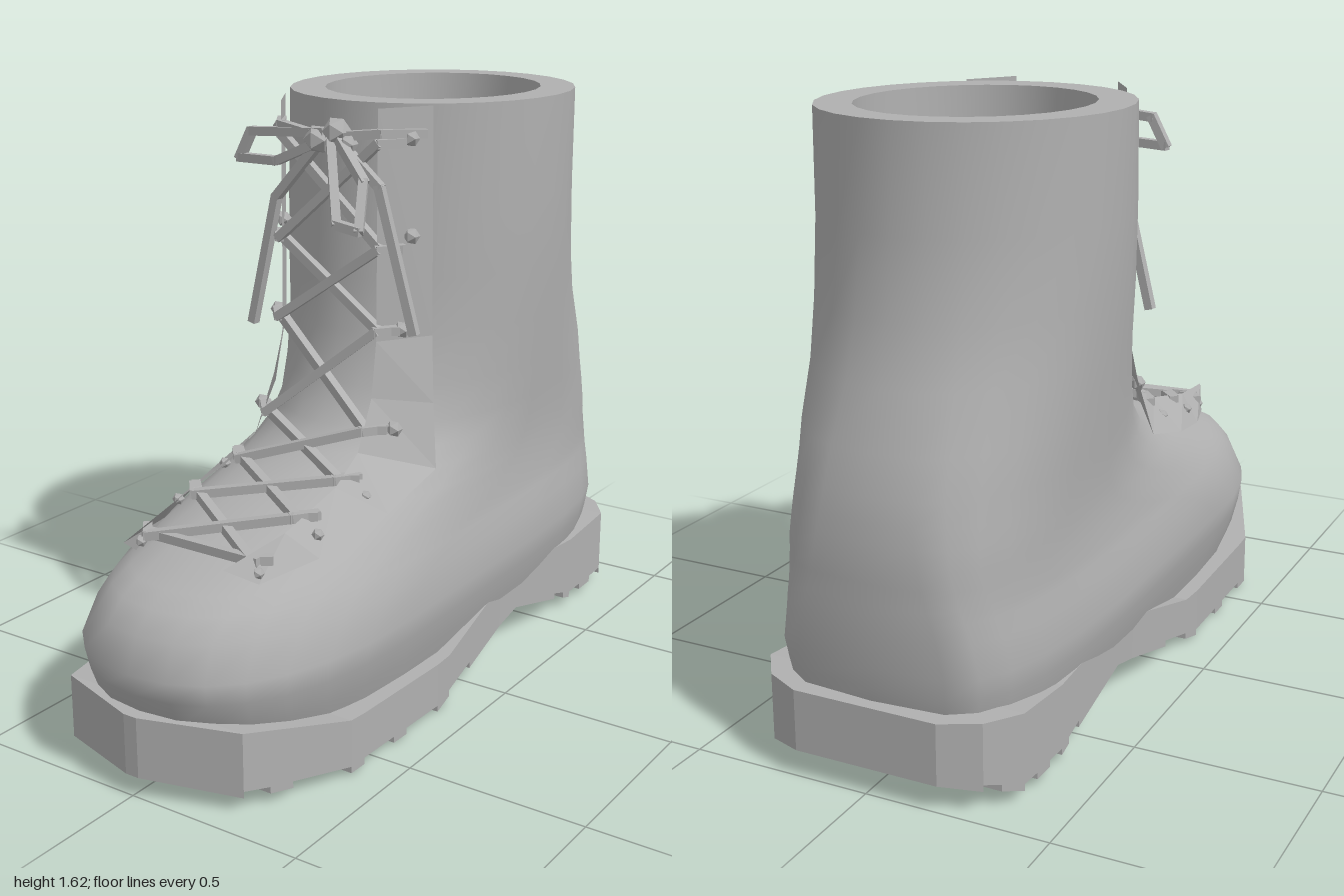
import * as THREE from 'three';

const grey = new THREE.MeshStandardMaterial({ color: 0xb0b0b0, side: THREE.DoubleSide });
grey.name = 'boot grey';

function add(parent, name, geometry) {
  const m = new THREE.Mesh(geometry, grey);
  m.name = name;
  parent.add(m);
  return m;
}

// Piecewise linear lookup in [key, value] pairs sorted by falling key
function lookup(table, k) {
  for (let i = 0; i < table.length - 1; i++) {
    const [a, va] = table[i], [b, vb] = table[i + 1];
    if (k <= a && k >= b) return va + (vb - va) * (a - k) / (a - b);
  }
  return table[table.length - 1][1];
}

// Horizontal egg-shaped rings: [y, half width, back z, front z, widest z, back power, front power]
const SIDES = 28;
function loft(levels) {
  const pos = [], idx = [];
  for (const [y, w, zb, zf, zc, nb, nf] of levels) {
    for (let j = 0; j < SIDES; j++) {
      const a = (j / SIDES) * Math.PI * 2;
      const s = Math.sin(a), c = Math.cos(a), p = 2 / (c > 0 ? nf : nb);
      const x = w * Math.sign(s) * Math.abs(s) ** p;
      const z = zc + (c > 0 ? zf - zc : zb - zc) * Math.abs(c) ** p;
      pos.push(x, y, z);
    }
  }
  for (let i = 0; i < levels.length - 1; i++) {
    for (let j = 0; j < SIDES; j++) {
      const a = i * SIDES + j, b = i * SIDES + (j + 1) % SIDES;
      idx.push(a, b, b + SIDES, a, b + SIDES, a + SIDES);
    }
  }
  const g = new THREE.BufferGeometry();
  g.setAttribute('position', new THREE.Float32BufferAttribute(pos, 3));
  g.setIndex(idx);
  g.computeVertexNormals();
  return g;
}

// Flat-shaded geometry from quads of [x, y, z] corners
function quads(list) {
  const pos = [];
  for (const [a, b, c, d] of list) pos.push(...a, ...b, ...c, ...a, ...c, ...d);
  const g = new THREE.BufferGeometry();
  g.setAttribute('position', new THREE.Float32BufferAttribute(pos, 3));
  g.computeVertexNormals();
  return g;
}

// Square cord running through a list of points
function cord(parent, name, points, t = 0.024) {
  const group = new THREE.Group();
  group.name = name;
  for (let i = 0; i < points.length - 1; i++) {
    const a = new THREE.Vector3(...points[i]), b = new THREE.Vector3(...points[i + 1]);
    const m = add(group, 'laceSegment', new THREE.BoxGeometry(t, t, a.distanceTo(b) + t * 0.5));
    m.position.copy(a).add(b).multiplyScalar(0.5);
    m.lookAt(b);
  }
  parent.add(group);
}

function soleGeometry() {
  const half = [[1, 0.02], [0.91, 0.28], [0.62, 0.4], [0.2, 0.4], [-0.2, 0.365], [-0.86, 0.365], [-0.95, 0.3], [-1, 0.2]];
  const top = [[1, 0.22], [0.91, 0.215], [0.6, 0.155], [0.13, 0.14], [-0.2, 0.22], [-0.38, 0.235], [-0.65, 0.215], [-0.86, 0.235], [-1, 0.235]];
  const low = [[1, 0.055], [0.85, 0.03], [0.62, 0.01], [0.2, 0], [0, 0.045], [-0.3, 0.115], [-0.55, 0.05], [-0.65, 0.02], [-0.85, 0.025], [-1, 0.07]];
  const cuts = [1, 0.91, 0.84, 0.78, 0.62, 0.56, 0.42, 0.36, 0.2, 0.13, 0, -0.1, -0.2, -0.3, -0.38, -0.55, -0.61, -0.65, -0.72, -0.79, -0.86, -0.91, -0.95, -1];
  const faces = [];
  const ring = (z, lift) => {
    const w = lookup(half, z), t = lookup(top, z), b = lookup(low, z) + lift;
    return [[-w, b, z], [w, b, z], [w, t, z], [-w, t, z]];
  };
  let prev = null;
  for (let i = 0; i < cuts.length - 1; i++) {
    const ridged = cuts[i] > 0.05 || cuts[i] < -0.5;
    const lift = ridged && i % 2 ? 0.018 : 0;
    const f = ring(cuts[i], lift), r = ring(cuts[i + 1], lift);
    // Side, top and tread faces of this slice
    for (let k = 0; k < 4; k++) {
      const n = (k + 1) % 4;
      faces.push([f[k], r[k], r[n], f[n]]);
    }
    // Step between neighbouring tread ridges
    if (prev && prev[0][1] > f[0][1]) faces.push([f[0], f[1], prev[1], prev[0]]);
    else if (prev) faces.push([prev[1], prev[0], f[0], f[1]]);
    if (!prev) faces.push([f[0], f[1], f[2], f[3]]);
    if (i === cuts.length - 2) faces.push([r[1], r[0], r[3], r[2]]);
    prev = r;
  }
  return quads(faces);
}

export function createModel() {
  const boot = new THREE.Group();
  boot.name = 'boot';

  // Foot and shaft
  const rim = [1.62, 0.4, -0.81, 0.04, -0.39, 2, 2];
  const mouth = [1.62, 0.3, -0.72, -0.06, -0.39, 2, 2];
  add(boot, 'upper', loft([
    [0.12, 0.35, -0.93, 0.9, 0.3, 4.5, 2.4],
    [0.2, 0.375, -0.96, 0.955, 0.33, 4.5, 2.4],
    [0.27, 0.392, -0.97, 0.985, 0.35, 4.5, 2.3],
    [0.33, 0.4, -0.98, 1, 0.35, 4.5, 2.3],
    [0.42, 0.386, -0.985, 0.965, 0.22, 4.2, 2.3],
    [0.47, 0.373, -0.985, 0.91, 0.08, 4, 2.4],
    [0.5, 0.367, -0.985, 0.85, -0.05, 3.8, 2.4],
    [0.55, 0.36, -0.985, 0.71, -0.2, 3.5, 2.4],
    [0.6, 0.356, -0.985, 0.52, -0.3, 3.3, 2.3],
    [0.65, 0.356, -0.98, 0.36, -0.34, 3.1, 2.2],
    [0.7, 0.358, -0.975, 0.25, -0.36, 2.9, 2.1],
    [0.76, 0.362, -0.965, 0.185, -0.37, 2.7, 2],
    [0.86, 0.37, -0.94, 0.13, -0.38, 2.5, 2],
    [1, 0.38, -0.89, 0.09, -0.39, 2.2, 2],
    [1.15, 0.391, -0.845, 0.075, -0.39, 2.1, 2],
    [1.35, 0.398, -0.82, 0.06, -0.39, 2, 2],
    rim,
  ]));
  add(boot, 'rim', loft([rim, mouth]));
  add(boot, 'lining', loft([
    mouth,
    [1.2, 0.29, -0.72, -0.04, -0.39, 2, 2],
    [0.8, 0.26, -0.78, 0.02, -0.38, 2, 2],
    [0.4, 0.25, -0.85, 0.3, -0.3, 2.5, 2],
    [0.35, 0.2, -0.8, 0.25, -0.3, 2.5, 2],
    [0.34, 0.01, -0.31, -0.29, -0.3, 2, 2],
  ]));

  add(boot, 'sole', soleGeometry());

  // Lace flaps: inner edge and outer edge points, from the top down to the toe
  const inner = [[0.155, 1.62, 0.135], [0.155, 1, 0.14], [0.16, 0.85, 0.17], [0.17, 0.72, 0.25], [0.18, 0.66, 0.37], [0.185, 0.61, 0.6], [0.16, 0.58, 0.82]];
  const outer = [[0.24, 1.62, 0], [0.245, 1, 0], [0.27, 0.82, 0.03], [0.305, 0.65, 0.07], [0.3, 0.59, 0.3], [0.255, 0.54, 0.55], [0.2, 0.52, 0.73]];
  const eyelets = [[0.21, 1.54, 0.06], [0.21, 1.28, 0.055], [0.205, 1.03, 0.09], [0.22, 0.77, 0.15], [0.235, 0.63, 0.31], [0.23, 0.59, 0.52], [0.19, 0.545, 0.72]];
  const rows = [[1.53, 0.135], [1.25, 0.135], [1.03, 0.145], [0.77, 0.21], [0.67, 0.34], [0.625, 0.53], [0.57, 0.72]];
  for (const s of [1, -1]) {
    const side = s > 0 ? 'left' : 'right';
    const m = ([x, y, z]) => [x * s, y, z];
    const strip = [];
    for (let i = 0; i < inner.length - 1; i++) {
      const q = [inner[i], inner[i + 1], outer[i + 1], outer[i]].map(m);
      strip.push(s > 0 ? q : q.reverse());
    }
    add(boot, side + 'LaceFlap', quads(strip));
    // Eyelet studs, smaller over the foot
    eyelets.forEach((e, i) => {
      const r = i < 4 ? 0.024 : 0.017;
      const stud = add(boot, side + 'Eyelet', new THREE.IcosahedronGeometry(r, 0));
      stud.position.set(...m(e));
    });
    // Crossed laces
    for (let i = 0; i < rows.length - 1; i++) {
      const lift = s * 0.008;
      const [y0, z0] = rows[i], [y1, z1] = rows[i + 1];
      cord(boot, 'crossLace', [m([0.2, y0, z0 - 0.05]), m([0.16, y0, z0 + lift]), m([-0.16, y1, z1 + lift]), m([-0.2, y1, z1 - 0.04])]);
    }
    // Lace from the top eyelet to the knot
    cord(boot, 'topLace', [m([0.23, 1.55, 0.03]), m([0.16, 1.555, 0.13]), m([0.02, 1.54, 0.16])]);
  }
  cord(boot, 'toeLace', [[-0.18, 0.57, 0.71], [0.18, 0.57, 0.71]]);

  // Bow: knot, loops and loose ends
  for (const [x, y, r] of [[-0.02, 1.53, 0.04], [0.04, 1.555, 0.04], [0.075, 1.525, 0.028]]) {
    add(boot, 'knot', new THREE.IcosahedronGeometry(r, 0)).position.set(x, y, 0.155);
  }
  cord(boot, 'rightLoop', [[0, 1.55, 0.16], [-0.26, 1.53, 0.13], [-0.3, 1.455, 0.13], [-0.16, 1.46, 0.15], [-0.02, 1.52, 0.16]]);
  cord(boot, 'leftLoop', [[0.03, 1.53, 0.17], [0.13, 1.34, 0.29], [0.2, 1.33, 0.29], [0.16, 1.44, 0.21], [0.06, 1.53, 0.17]]);
  cord(boot, 'rightLaceEnd', [[-0.02, 1.52, 0.15], [-0.17, 1.36, 0.14], [-0.26, 1, 0.135]]);
  cord(boot, 'leftLaceEnd', [[0.05, 1.53, 0.16], [0.17, 1.42, 0.15], [0.27, 1.04, 0.135]]);

  return boot;
}
